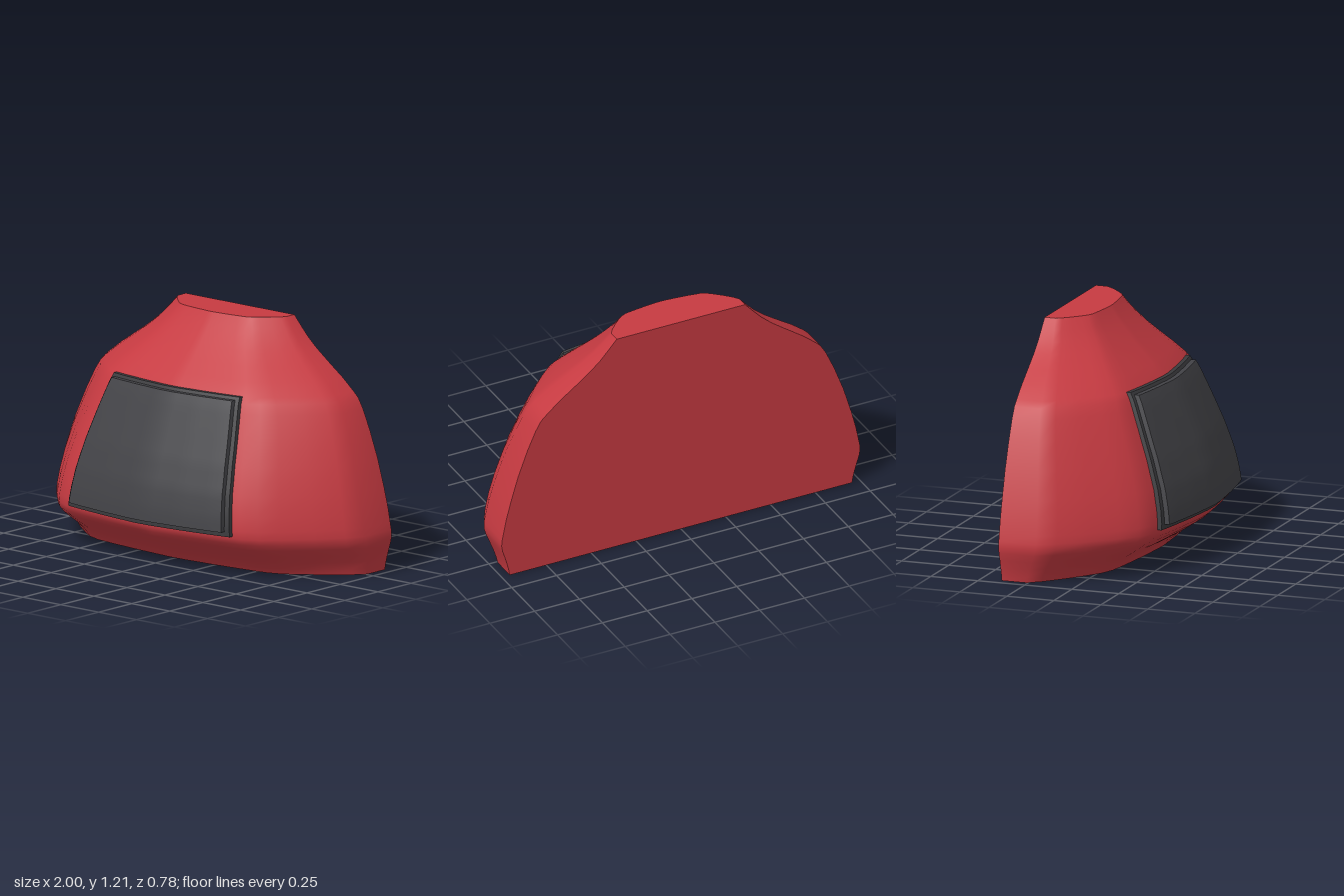
import * as THREE from 'three';
import { mergeGeometries } from 'three/addons/utils/BufferGeometryUtils.js';

const BACK = -0.39;

// Body profile: height, half width, front z on the centre line
const profile = [
  [0, 0.955, 0.10], [0.03, 0.96, 0.125], [0.07, 0.97, 0.17], [0.11, 0.982, 0.235],
  [0.15, 0.995, 0.295], [0.18, 1.0, 0.33], [0.21, 0.998, 0.342], [0.25, 0.99, 0.343],
  [0.32, 0.976, 0.333], [0.42, 0.95, 0.31], [0.56, 0.908, 0.26], [0.70, 0.855, 0.2],
  [0.80, 0.81, 0.156], [0.85, 0.78, 0.133], [0.88, 0.748, 0.115], [0.94, 0.675, 0.058],
  [1.0, 0.59, 0.0], [1.06, 0.508, -0.055], [1.11, 0.45, -0.097], [1.16, 0.403, -0.138],
  [1.21, 0.358, -0.17],
];

// Half outline of every section: fraction of half width, fraction of depth
const outline = [
  [1, 0], [1, 0.27], [0.95, 0.395], [0.85, 0.57], [0.74, 0.735], [0.66, 0.84],
  [0.58, 0.897], [0.45, 0.932], [0.25, 0.972], [0.05, 1], [0, 1],
];

// Linear lookup in a table sorted by its first column
function lookup(table, key, col) {
  for (let i = 1; i < table.length; i++) {
    const a = table[i - 1], b = table[i];
    if (key <= b[0] || i === table.length - 1) {
      return a[col] + (b[col] - a[col]) * (key - a[0]) / (b[0] - a[0]);
    }
  }
}

const outlineByX = [...outline].reverse().slice(0, -1);

function bodyZ(x, y) {
  const depth = lookup(profile, y, 2) - BACK;
  return BACK + depth * lookup(outlineByX, Math.abs(x) / lookup(profile, y, 1), 1);
}

// Surface through rows of points, smooth inside itself
function grid(rows) {
  const n = rows[0].length, index = [];
  for (let i = 0; i < rows.length - 1; i++) {
    for (let j = 0; j < n - 1; j++) {
      const a = i * n + j;
      index.push(a, a + n, a + 1, a + 1, a + n, a + n + 1);
    }
  }
  const g = new THREE.BufferGeometry();
  g.setAttribute('position', new THREE.Float32BufferAttribute(rows.flat(2), 3));
  g.setIndex(index);
  g.computeVertexNormals();
  return g;
}

// Lofted wall with flat back, top and bottom
function bodyGeometry() {
  const place = ([y, w, f], [t, d], side) => [side * t * w, y, BACK + d * (f - BACK)];
  const wall = profile.map(p => [
    ...outline.map(o => place(p, o, 1)),
    ...outline.slice(0, -1).reverse().map(o => place(p, o, -1)),
  ]);
  const back = profile.map(([y, w]) => [[-w, y, BACK], [w, y, BACK]]);
  const cap = (p, s) => outline.map(o => [place(p, o, -s), place(p, o, s)]);
  return mergeGeometries([wall, back, cap(profile.at(-1), 1), cap(profile[0], -1)].map(grid));
}

// Curved slab lying on the front of the body
function slabGeometry(y0, y1, half0, half1, inner, outer) {
  const N = 20;
  const layer = offset => Array.from({ length: N + 1 }, (_, i) => {
    const v = i / N, y = y0 + (y1 - y0) * v;
    const half = half0 + (half1 - half0) * v + 0.045 * v * (1 - v);
    return Array.from({ length: N + 1 }, (_, j) => {
      const x = half * (1 - 2 * j / N);
      return [x, y, bodyZ(x, y) + offset];
    });
  });
  const front = layer(outer), rear = layer(inner);
  return mergeGeometries([
    front,
    front.map((r, i) => [rear[i][0], r[0]]),
    front.map((r, i) => [r[N], rear[i][N]]),
    [front[N], rear[N]],
    [rear[0], front[0]],
  ].map(grid));
}

export function createModel() {
  const material = (name, color) => {
    const m = new THREE.MeshStandardMaterial({ color });
    m.name = name;
    return m;
  };
  const group = new THREE.Group();
  const add = (name, geometry, mat) => {
    const mesh = new THREE.Mesh(geometry, mat);
    mesh.name = name;
    group.add(mesh);
  };

  add('body', bodyGeometry(), material('red shell', 0xc63a41));
  add('panelFrame', slabGeometry(0.22, 0.88, 0.532, 0.415, -0.012, 0.022), material('dark trim', 0x3a3a3d));
  add('frontPanel', slabGeometry(0.245, 0.865, 0.502, 0.397, 0.0, 0.047), material('charcoal panel', 0x424246));
  return group;
}
